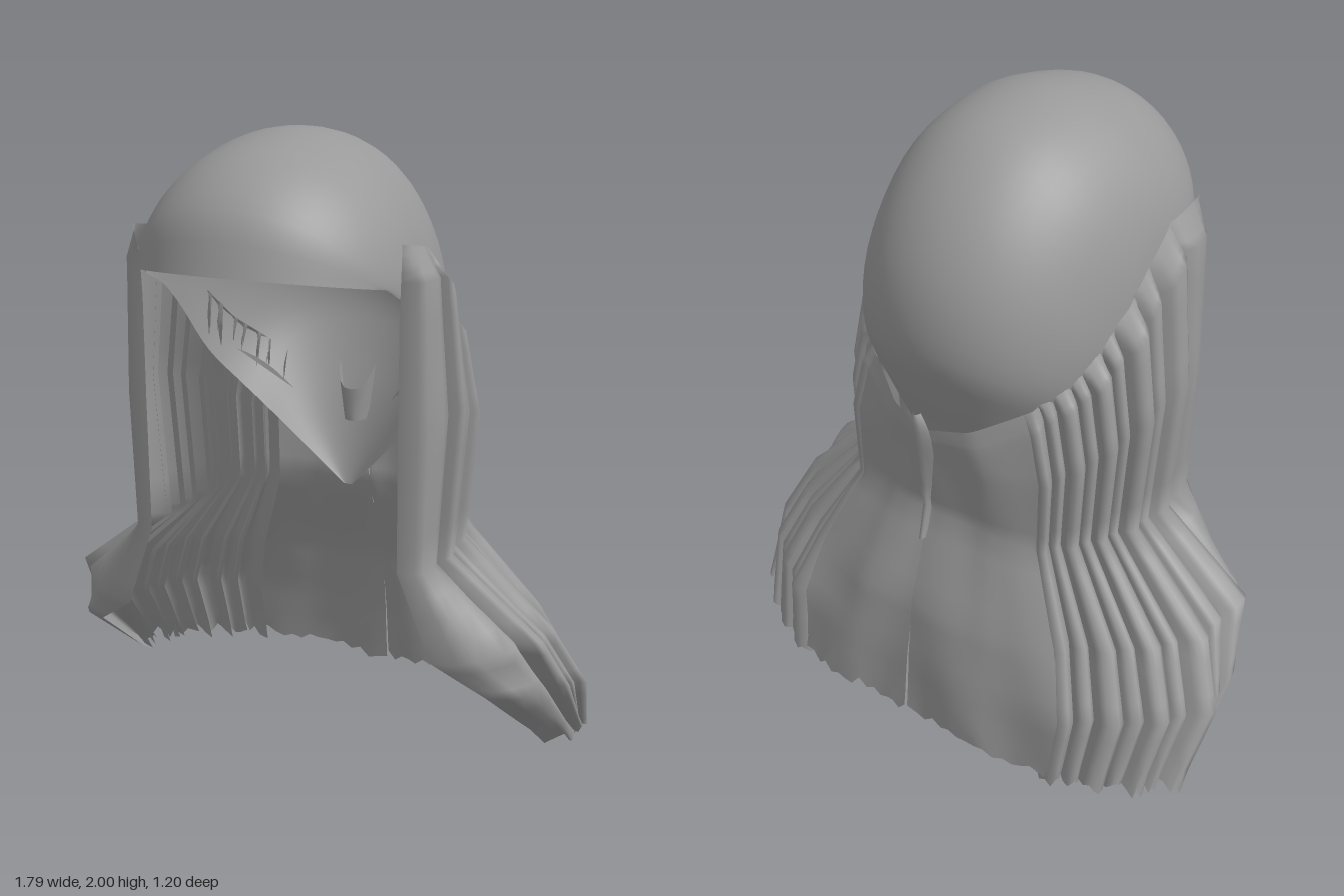
import * as THREE from 'three';

const hair = new THREE.MeshStandardMaterial({ color: 0x999999, side: THREE.DoubleSide });
hair.name = 'grey hair';

// Small seeded noise for ragged tips
let seed = 7;
const rnd = () => (seed = (seed * 16807) % 2147483647) / 2147483647;

// Smooth open sheet from a rule f(u, v) -> [x, y, z]
function sheet(name, nu, nv, f) {
  const pos = [], idx = [];
  for (let i = 0; i <= nu; i++)
    for (let j = 0; j <= nv; j++) pos.push(...f(i / nu, j / nv));
  for (let i = 0; i < nu; i++)
    for (let j = 0; j < nv; j++) {
      const a = i * (nv + 1) + j, b = a + nv + 1;
      idx.push(a, a + 1, b, b, a + 1, b + 1);
    }
  const g = new THREE.BufferGeometry();
  g.setAttribute('position', new THREE.Float32BufferAttribute(pos, 3));
  g.setIndex(idx);
  g.computeVertexNormals();
  const m = new THREE.Mesh(g, hair);
  m.name = name;
  return m;
}

// Cap stations, forehead to nape: midline y, z | rim y, z | half width
const CAP = [
  [1.635, 0.6, 1.58, 0.29, 0.4], [1.8, 0.54, 1.55, 0.24, 0.415],
  [1.92, 0.4, 1.53, 0.19, 0.425], [1.98, 0.22, 1.5, 0.13, 0.43],
  [2.0, 0.06, 1.45, 0.07, 0.43], [1.955, -0.18, 1.38, 0.0, 0.43],
  [1.81, -0.37, 1.3, -0.06, 0.42], [1.61, -0.49, 1.23, -0.11, 0.4],
  [1.4, -0.522, 1.15, -0.17, 0.355], [1.24, -0.48, 1.05, -0.22, 0.27],
  [1.05, -0.41, 0.92, -0.28, 0.16], [0.77, -0.33, 0.77, -0.33, 0.015],
];

// Hair columns, front edge to centre back: root, crown side, cheek, neck, shoulder, hem, tip
const COLS = [
  [[0.45, 1.71, 0.28], [0.49, 1.6, 0.29], [0.49, 1.15, 0.285], [0.49, 0.72, 0.275], [0.6, 0.44, 0.25], [0.76, 0.33, 0.17], [0.82, 0.02, -0.28]],
  [[0.45, 1.68, 0.1], [0.52, 1.6, 0.1], [0.56, 1.2, 0.09], [0.525, 0.72, 0.08], [0.82, 0.5, 0.08], [0.86, 0.32, -0.05], [0.85, 0.05, -0.32]],
  [[0.43, 1.48, -0.07], [0.5, 1.4, -0.08], [0.545, 1.15, -0.1], [0.51, 0.73, -0.1], [0.8, 0.46, -0.14], [0.89, 0.27, -0.22], [0.86, 0.05, -0.36]],
  [[0.38, 1.33, -0.23], [0.44, 1.27, -0.24], [0.48, 1.07, -0.25], [0.46, 0.75, -0.25], [0.68, 0.48, -0.32], [0.77, 0.28, -0.39], [0.74, 0.04, -0.47]],
  [[0.3, 1.23, -0.36], [0.33, 1.17, -0.37], [0.37, 1.0, -0.38], [0.36, 0.75, -0.38], [0.49, 0.48, -0.46], [0.56, 0.28, -0.54], [0.54, 0.05, -0.575]],
  [[0.14, 1.13, -0.44], [0.16, 1.07, -0.44], [0.18, 0.96, -0.43], [0.18, 0.76, -0.42], [0.24, 0.46, -0.53], [0.26, 0.25, -0.57], [0.27, 0.05, -0.6]],
  [[0, 1.08, -0.455], [0, 1.04, -0.455], [0, 0.94, -0.44], [0, 0.76, -0.42], [0, 0.46, -0.53], [0, 0.25, -0.565], [0, 0.04, -0.585]],
].map((c) => c.map((p) => new THREE.Vector3(...p)));

// Point on the curtain at column position u (0..6) and height parameter v
function curtain(u, v) {
  const i = Math.min(5, Math.floor(u)), k = Math.min(5, Math.floor(v * 6 + 1e-6));
  const along = (col) => col[k].clone().lerp(col[k + 1], v * 6 - k);
  return along(COLS[i]).lerp(along(COLS[i + 1]), u - i);
}

// Lock of hair: a strip with its edges tucked toward the head
function lock(name, side, u0, u1, tuck, raise) {
  const n = 6;
  const jag = Array.from({ length: n + 1 }, () => rnd() * 0.05 - 0.03);
  return sheet(name, n, 24, (s, v) => {
    const p = curtain(u0 + (u1 - u0) * s, v);
    const edge = Math.pow(Math.abs(2 * s - 1), 4);
    const r = Math.hypot(p.x, p.z);
    const k = 1 + (raise - tuck * edge) * Math.min(1, 0.1 + v * 5) / r;
    const tip = v > 0.96 ? jag[Math.round(s * n)] : 0;
    return [side * p.x * k, Math.max(0.005, p.y + tip), p.z * k];
  });
}

export function createModel() {
  const g = new THREE.Group();
  g.name = 'longHair';

  // Smooth egg-shaped crown, open toward the face
  const tracks = [0, 2].map((k) => new THREE.CatmullRomCurve3(
    CAP.map((c) => new THREE.Vector3(c[4], c[k], c[k + 1]))));
  g.add(sheet('crown', 40, 32, (u, v) => {
    const mid = tracks[0].getPoint(u), rim = tracks[1].getPoint(u);
    const a = (v - 0.5) * Math.PI;
    const c = Math.pow(Math.max(0, Math.cos(a)), Math.max(0.87, 1.3 - 1.4 * u));
    return [mid.x * Math.sin(a), rim.y + (mid.y - rim.y) * c, rim.z + (mid.z - rim.z) * c];
  }));

  for (const side of [1, -1]) {
    const label = side > 0 ? 'left' : 'right';
    // Wide lock framing the face
    g.add(lock(label + 'FrontLock', side, 0, 0.98, 0.07, 0));
    // Overlapping pleated locks of uneven width around the side
    const edges = [0.93, 1.45, 1.8, 2.3, 2.6, 3.0, 3.25, 3.6, 3.85, 4.2];
    edges.slice(0, -1).forEach((u, i) =>
      g.add(lock(label + 'SideLock' + (i + 1), side, u, edges[i + 1] + 0.06, 0.05 + 0.04 * rnd(), i % 2 ? -0.012 : 0.005)));

    // Broad, gently waved back sheet
    const jag = Array.from({ length: 17 }, () => rnd() * 0.04 - 0.02);
    g.add(sheet(label + 'BackSheet', 16, 24, (s, v) => {
      const p = curtain(4.1 + 1.9 * s, v);
      const wave = 0.008 * Math.sin(s * 9 + v * 7 + side) * v;
      const tip = v > 0.96 ? jag[Math.round(s * 16)] : 0;
      return [side * p.x + 0.045 * s * s, p.y + tip, Math.max(-0.6, p.z + wave)];
    }));

    // Thin wisp inside the crown at the side of the neck
    g.add(sheet(label + 'Wisp', 6, 1, (s, v) => [
      side * (0.18 + 0.16 * s), 1.1 + 0.14 * s + 0.02 * v * Math.sin(s * Math.PI), -0.27 + 0.1 * s]));
  }

  // Pointed loose lock over the centre seam
  g.add(sheet('napeLock', 8, 4, (s, v) => {
    const w = 0.012 + 0.035 * Math.sin(Math.PI * Math.min(1, s * 1.1));
    const p = curtain(6, 0.55 * s);
    return [0.05 + (v - 0.5) * 2 * w, p.y + 0.06 * (1 - s), p.z - 0.02 * Math.sin(Math.PI * v)];
  }));

  // Small curled tuft inside the nape
  g.add(sheet('napeTuft', 8, 4, (s, v) => {
    const a = (s - 0.5) * Math.PI;
    return [0.065 * Math.sin(a) * (0.6 + 0.4 * v), 0.99 + 0.11 * v + 0.08 * v * Math.pow(Math.sin(a), 4),
      -0.4 + 0.06 * Math.cos(a)];
  }));
  return g;
}
